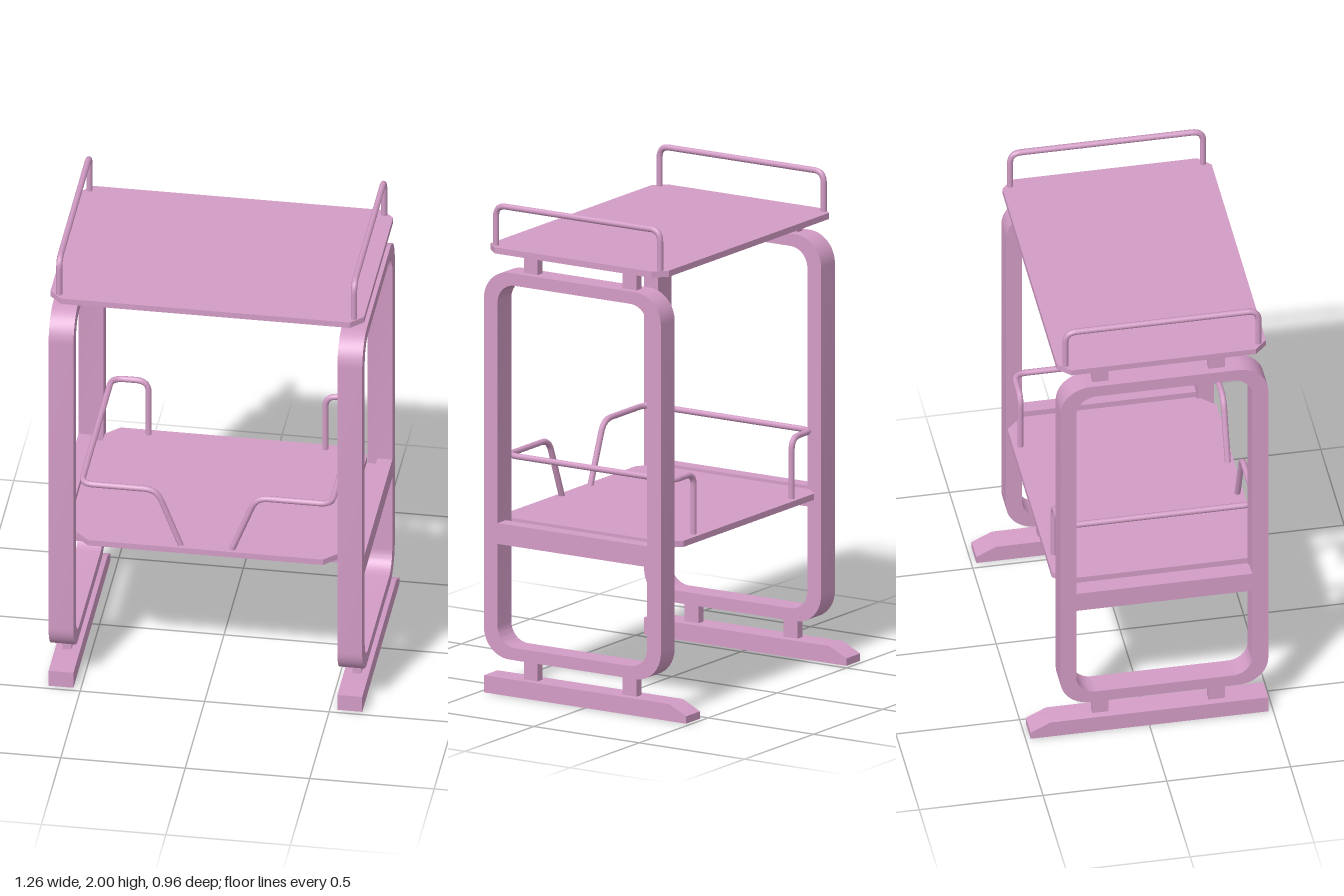
import * as THREE from 'three';
import { toCreasedNormals } from 'three/addons/utils/BufferGeometryUtils.js';

const FRONT = 0.48, BACK = -0.365;
const material = new THREE.MeshStandardMaterial({ color: 0xd39cc6 });

function add(parent, name, geometry) {
  const mesh = new THREE.Mesh(geometry, material);
  mesh.name = name;
  parent.add(mesh);
}

// Box given by its limits on each axis
function box(x0, x1, y0, y1, z0, z1) {
  return new THREE.BoxGeometry(Math.abs(x1 - x0), y1 - y0, z1 - z0)
    .translate((x0 + x1) / 2, (y0 + y1) / 2, (z0 + z1) / 2);
}

// Rounded rectangle outline
function roundRect(target, x0, y0, x1, y1, r) {
  const h = Math.PI / 2;
  target.absarc(x1 - r, y0 + r, r, -h, 0);
  target.absarc(x1 - r, y1 - r, r, 0, h);
  target.absarc(x0 + r, y1 - r, r, h, 2 * h);
  target.absarc(x0 + r, y0 + r, r, 2 * h, 3 * h);
  target.closePath();
  return target;
}

// Extrudes a (z, y) profile across a 0.1 wide strip on one side
function sideExtrude(shape, side) {
  const g = new THREE.ExtrudeGeometry(shape, { depth: 0.1, bevelEnabled: false, curveSegments: 8 });
  g.rotateY(-Math.PI / 2).translate(side * 0.58 + 0.05, 0, 0);
  return toCreasedNormals(g, 0.6);
}

// Horizontal plate with cut corners
function plate(halfX, y0, y1, cut) {
  const a = halfX, b = (FRONT - BACK) / 2;
  const shape = new THREE.Shape([
    [a - cut, -b], [a, -b + cut], [a, b - cut], [a - cut, b],
    [-a + cut, b], [-a, b - cut], [-a, -b + cut], [-a + cut, -b],
  ].map(([x, y]) => new THREE.Vector2(x, y)));
  return new THREE.ExtrudeGeometry(shape, { depth: y1 - y0, bevelEnabled: false })
    .rotateX(-Math.PI / 2).translate(0, y0, (FRONT + BACK) / 2);
}

// Tube through points with rounded corners
function rail(points, r) {
  const pts = points.map((p) => new THREE.Vector3(...p));
  const path = new THREE.CurvePath();
  let from = pts[0];
  for (let i = 1; i < pts.length - 1; i++) {
    const p = pts[i];
    const a = p.clone().add(pts[i - 1].clone().sub(p).setLength(r));
    const b = p.clone().add(pts[i + 1].clone().sub(p).setLength(r));
    path.add(new THREE.LineCurve3(from, a));
    path.add(new THREE.QuadraticBezierCurve3(a, p, b));
    from = b;
  }
  path.add(new THREE.LineCurve3(from, pts[pts.length - 1]));
  return new THREE.TubeGeometry(path, 120, 0.0125, 8);
}

export function createModel() {
  const model = new THREE.Group();
  model.name = 'twoTierStand';

  add(model, 'topPlate', plate(0.63, 1.8, 1.825, 0.05));
  add(model, 'shelf', plate(0.527, 0.675, 0.7, 0.055));

  for (const s of [1, -1]) {
    const side = new THREE.Group();
    side.name = s > 0 ? 'leftSide' : 'rightSide';
    model.add(side);

    // Upright loop frame
    const loop = roundRect(new THREE.Shape(), -0.36, 0.15, FRONT, 1.73, 0.12);
    loop.holes.push(roundRect(new THREE.Path(), -0.295, 0.2, 0.415, 1.68, 0.08));
    add(side, 'loopFrame', sideExtrude(loop, s));

    // Runner foot with a sloped back end
    const foot = new THREE.Shape([[FRONT, 0], [FRONT, 0.07], [-0.4, 0.07], [-0.48, 0.03], [-0.48, 0]]
      .map(([z, y]) => new THREE.Vector2(z, y)));
    add(side, 'foot', sideExtrude(foot, s));

    // Spacer blocks below and above the frame
    for (const z of [0.277, -0.192]) {
      add(side, 'lowerSpacer', box(s * 0.565, s * 0.6, 0.065, 0.155, z - 0.033, z + 0.033));
      add(side, 'upperSpacer', box(s * 0.565, s * 0.6, 1.725, 1.805, z - 0.033, z + 0.033));
    }

    // Cross beam and the ledge carrying the shelf
    add(side, 'crossBeam', box(s * 0.57, s * 0.63, 0.615, 0.7, -0.296, 0.416));
    add(side, 'shelfLedge', box(s * 0.485, s * 0.571, 0.65, 0.675, -0.295, 0.415));

    // Rail on the top plate
    add(side, 'topRail', rail([
      [s * 0.592, 1.815, 0.447], [s * 0.592, 1.987, 0.447],
      [s * 0.592, 1.987, -0.332], [s * 0.592, 1.815, -0.332],
    ], 0.045));

    // Guard rail: slanted leg at the front, straight leg at the back
    add(side, 'guardRail', rail([
      [s * 0.1, 0.69, 0.455], [s * 0.2, 0.948, 0.455], [s * 0.503, 0.948, 0.455],
      [s * 0.503, 0.948, -0.335], [s * 0.355, 0.948, -0.335], [s * 0.355, 0.69, -0.335],
    ], 0.05));
  }
  return model;
}
